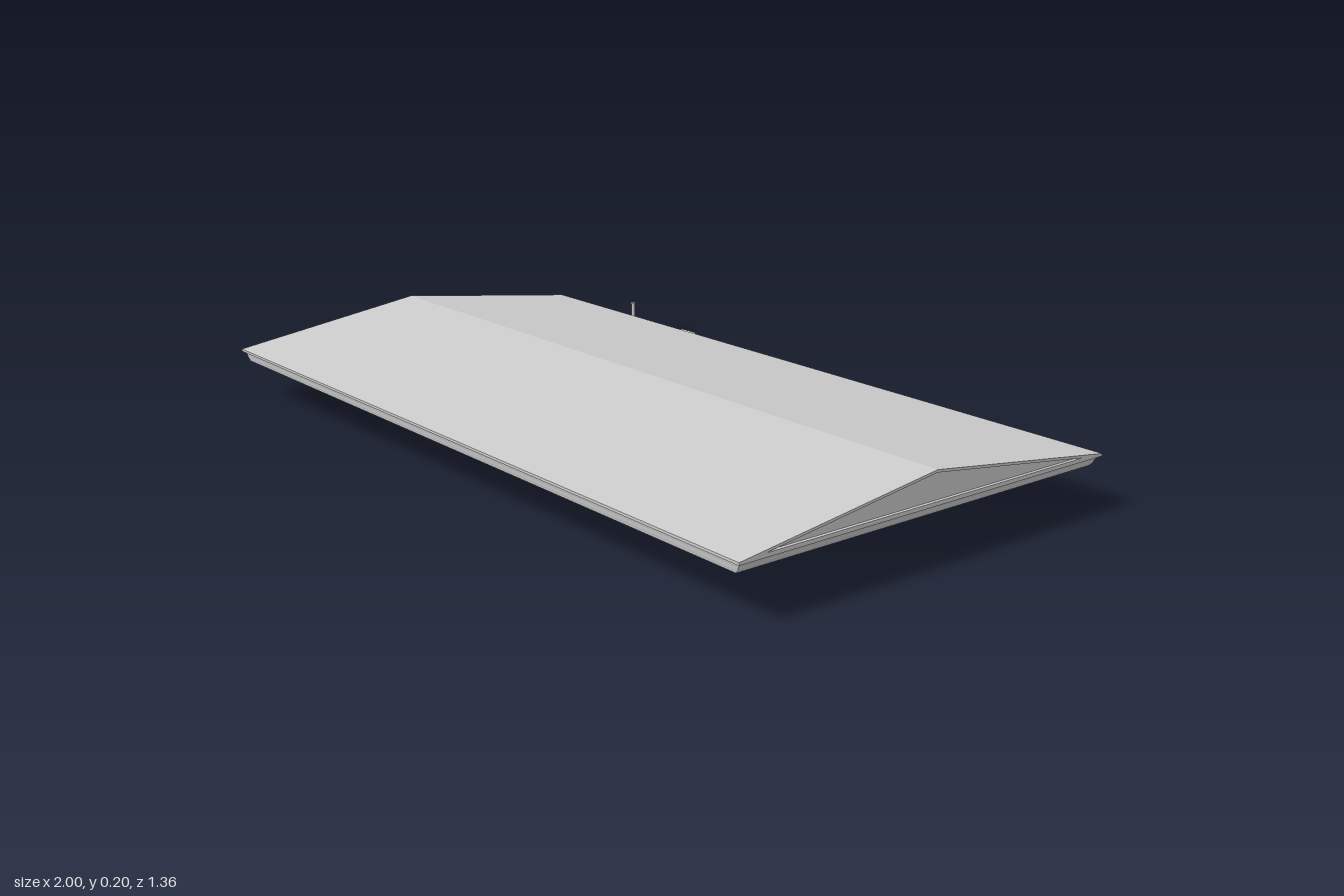
import * as THREE from 'three';

const material = new THREE.MeshStandardMaterial({ color: 0xcccccc, flatShading: true, side: THREE.DoubleSide });
const ROOF_Z = 0.165, HALF_X = 1, HALF_Z = 0.515, EAVE_Y = 0.127, RIDGE_Y = 0.197;

function add(parent, name, geometry, x = 0, y = 0, z = 0) {
  const mesh = new THREE.Mesh(geometry, material);
  mesh.name = name;
  mesh.position.set(x, y, z);
  parent.add(mesh);
  return mesh;
}

// Rectangular moulding lofted through [inset x, inset z, y] steps, from bottom to top
function steppedSlab(steps) {
  const signs = [[1, 1], [1, -1], [-1, -1], [-1, 1]];
  const rings = steps.map(([ix, iz, y]) => signs.map(([sx, sz]) => [sx * (HALF_X - ix), y, sz * (HALF_Z - iz)]));
  const points = [];
  const quad = (a, b, c, d) => points.push(...a, ...b, ...c, ...a, ...c, ...d);
  for (let i = 0; i < rings.length - 1; i++) {
    for (let k = 0; k < 4; k++) {
      const n = (k + 1) % 4;
      quad(rings[i][k], rings[i][n], rings[i + 1][n], rings[i + 1][k]);
    }
  }
  quad(...[...rings[0]].reverse());
  quad(...rings[rings.length - 1]);
  const geometry = new THREE.BufferGeometry();
  geometry.setAttribute('position', new THREE.Float32BufferAttribute(points, 3));
  geometry.computeVertexNormals();
  return geometry;
}

// Triangle across z, extruded along x
function triangle(Kind, half, low, high) {
  return new Kind([new THREE.Vector2(-half, low), new THREE.Vector2(half, low), new THREE.Vector2(0, high)]);
}
function extrudeAlongX(shape, length) {
  const geometry = new THREE.ExtrudeGeometry(shape, { depth: length, bevelEnabled: false });
  return geometry.translate(0, 0, -length / 2).rotateY(Math.PI / 2);
}

function makeRoof() {
  const roof = new THREE.Group();
  roof.name = 'roof';
  roof.position.z = ROOF_Z;

  // Eave moulding, stepping outwards as it rises
  add(roof, 'cornice', steppedSlab([
    [0.022, 0.012, 0.097], [0.015, 0.01, 0.105], [0.012, 0.009, 0.112],
    [0.006, 0.007, 0.119], [0.0, 0.0, 0.121], [0.0, 0.0, EAVE_Y],
  ]));

  // Pitched roof with shallow recessed gables
  const shell = triangle(THREE.Shape, HALF_Z, EAVE_Y, RIDGE_Y);
  shell.holes.push(triangle(THREE.Path, 0.45, 0.13, 0.191));
  add(roof, 'pitchedRoof', extrudeAlongX(shell, 2 * HALF_X));
  add(roof, 'gablePanel', extrudeAlongX(triangle(THREE.Shape, 0.451, 0.1299, 0.1912), 2 * HALF_X - 0.016));
  return roof;
}

// Slim post with a small foot and capital
function makePost(x, z) {
  const post = new THREE.Group();
  post.name = 'post';
  post.position.set(x, 0, z);
  add(post, 'shaft', new THREE.CylinderGeometry(0.0052, 0.006, 0.097, 12), 0, 0.0485, 0);
  add(post, 'foot', new THREE.CylinderGeometry(0.007, 0.0075, 0.004, 12), 0, 0.002, 0);
  add(post, 'capital', new THREE.CylinderGeometry(0.0075, 0.0065, 0.004, 12), 0, 0.095, 0);
  return post;
}

export function createModel() {
  const model = new THREE.Group();
  model.name = 'pavilionRoof';
  model.add(makeRoof());
  for (const [x, z] of [[-0.865, -0.32], [-0.81, -0.32], [-0.888, -0.53]]) model.add(makePost(x, z));

  // Loose ground pieces behind the roof
  add(model, 'smallPad', new THREE.BoxGeometry(0.037, 0.006, 0.037), -0.92, 0.003, -0.37);
  add(model, 'groundTile', new THREE.PlaneGeometry(0.071, 0.071).rotateX(-Math.PI / 2), -0.81, 0.0005, -0.649);
  return model;
}
